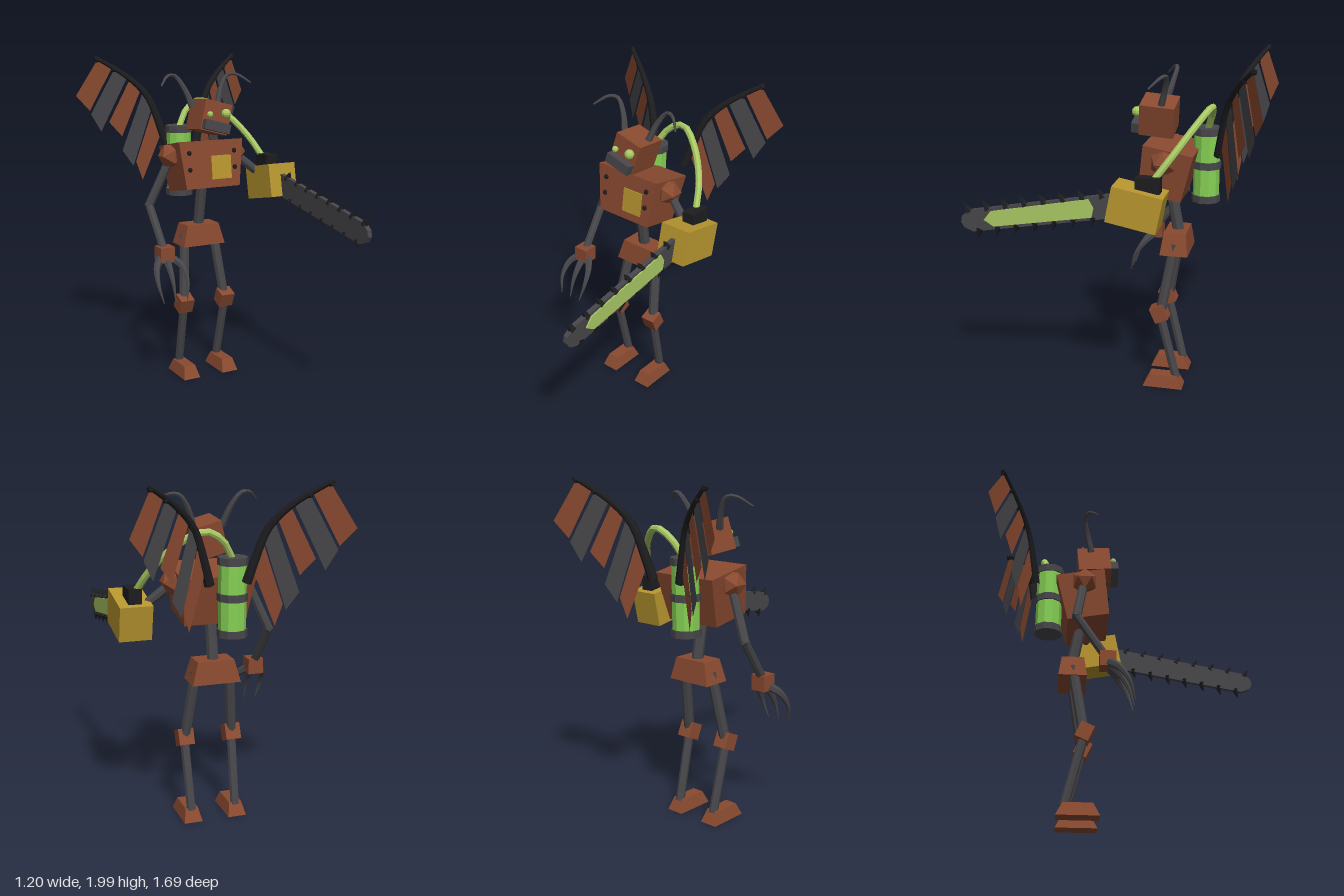
import * as THREE from 'three';

const V = (x, y, z) => new THREE.Vector3(x, y, z);
const mat = (name, color, extra = {}) =>
  Object.assign(new THREE.MeshStandardMaterial({ color, flatShading: true, ...extra }), { name });

export function createModel() {
  const root = new THREE.Group();
  root.name = 'scrapRobot';
  const rust = mat('rust', 0x8a4a30, { side: THREE.DoubleSide });
  const steel = mat('steel', 0x47474b, { side: THREE.DoubleSide });
  const black = mat('black', 0x1d1d20);
  const gold = mat('gold', 0xb8962f);
  const lime = mat('lime', 0xa9c964);
  const green = mat('green', 0x86d054);

  const add = (name, geo, material, pos = [0, 0, 0], rot = [0, 0, 0], parent = root) => {
    const m = new THREE.Mesh(geo, material);
    m.name = name;
    m.position.set(...pos);
    m.rotation.set(...rot);
    parent.add(m);
    return m;
  };
  const group = (name, pos, rot = [0, 0, 0]) => {
    const g = new THREE.Group();
    g.name = name;
    g.position.set(...pos);
    g.rotation.set(...rot);
    root.add(g);
    return g;
  };
  const box = (w, h, d) => new THREE.BoxGeometry(w, h, d);

  // Box whose top and bottom differ in size
  const frustum = (w0, d0, w1, d1, h) => {
    const g = box(1, h, 1), p = g.attributes.position;
    for (let i = 0; i < p.count; i++) {
      const top = p.getY(i) > 0;
      p.setX(i, p.getX(i) * (top ? w1 : w0));
      p.setZ(i, p.getZ(i) * (top ? d1 : d0));
    }
    g.computeVertexNormals();
    return g;
  };

  // Straight rod between two points
  const rod = (name, a, b, r, material = steel) => {
    const d = b.clone().sub(a);
    const m = add(name, new THREE.CylinderGeometry(r, r, d.length(), 8), material);
    m.position.copy(a).addScaledVector(d, 0.5);
    m.quaternion.setFromUnitVectors(V(0, 1, 0), d.normalize());
  };

  // Tube along a smooth curve, narrowing from r0 to r1
  const taper = (name, pts, r0, r1, material, sides = 6) => {
    const n = 14, curve = new THREE.CatmullRomCurve3(pts);
    const g = new THREE.TubeGeometry(curve, n, 1, sides, false);
    const p = g.attributes.position, v = V();
    for (let i = 0; i < p.count; i++) {
      const t = Math.floor(i / (sides + 1)) / n, c = curve.getPointAt(t);
      v.fromBufferAttribute(p, i).sub(c).multiplyScalar(r0 + (r1 - r0) * t).add(c);
      p.setXYZ(i, v.x, v.y, v.z);
    }
    return add(name, g, material);
  };

  // Legs, shoulders, horns and wings, mirrored
  const wingZ = x => -0.565 - 0.55 * (Math.abs(x) - 0.085);
  const feathers = [ // two corners on the spar, then two at the tip
    [[0.475, 1.97], [0.40, 1.915], [0.525, 1.65], [0.60, 1.745]],
    [[0.385, 1.91], [0.315, 1.86], [0.465, 1.52], [0.52, 1.63]],
    [[0.30, 1.85], [0.24, 1.79], [0.35, 1.49], [0.42, 1.58]],
    [[0.23, 1.77], [0.18, 1.68], [0.29, 1.30], [0.35, 1.40]],
    [[0.175, 1.67], [0.13, 1.52], [0.24, 1.21], [0.275, 1.33]],
  ];
  for (const s of [-1, 1]) {
    const side = s > 0 ? 'left' : 'right';
    add(side + 'Foot', frustum(0.11, 0.24, 0.075, 0.165, 0.075), rust, [s * 0.135, 0.0375, -0.288]);
    rod(side + 'Shin', V(s * 0.135, 0.06, -0.362), V(s * 0.145, 0.48, -0.258), 0.027);
    add(side + 'Knee', box(0.092, 0.095, 0.083), rust, [s * 0.143, 0.478, -0.26], [0.42, 0, 0]);
    rod(side + 'Thigh', V(s * 0.143, 0.48, -0.265), V(s * 0.1, 0.9, -0.335), 0.031);
    add(side + 'Shoulder', new THREE.IcosahedronGeometry(0.078), rust, [s * 0.215, 1.41, -0.28]);
    taper(side + 'Horn', [V(s * 0.085, 1.7, -0.24), V(s * 0.125, 1.81, -0.27), V(s * 0.18, 1.885, -0.285),
      V(s * 0.235, 1.885, -0.265), V(s * 0.3, 1.835, -0.21)], 0.021, 0.006, steel);

    const spar = [[0.105, 1.44], [0.14, 1.56], [0.205, 1.74], [0.31, 1.86], [0.49, 1.985]];
    taper(side + 'WingSpar', spar.map(([x, y]) => V(s * x, y, wingZ(x))), 0.029, 0.012, black, 8);
    feathers.forEach((f, i) => {
      const g = new THREE.ShapeGeometry(new THREE.Shape(f.map(([x, y]) => new THREE.Vector2(s * x, y))));
      const p = g.attributes.position;
      for (let k = 0; k < p.count; k++) p.setZ(k, wingZ(p.getX(k)));
      g.computeVertexNormals();
      add(side + 'Feather', g, i % 2 ? steel : rust);
      const [x, y] = f[0];
      add(side + 'FeatherJoint', new THREE.IcosahedronGeometry(0.02), black, [s * x, y, wingZ(x)]);
    });
  }

  // Pelvis and spine
  add('pelvis', frustum(0.285, 0.165, 0.215, 0.13, 0.13), rust, [0, 0.9, -0.335]);
  rod('spine', V(0, 0.9, -0.35), V(0, 1.25, -0.285), 0.034);

  // Torso leaning back, with chest plate and rivets
  const torso = group('torso', [0, 1.337, -0.279], [-0.187, 0, 0]);
  add('chest', frustum(0.36, 0.25, 0.43, 0.29, 0.285), rust, [0, 0, 0], [0, 0, 0], torso);
  add('chestPlate', box(0.133, 0.143, 0.009), gold, [0.058, -0.022, 0.137], [0.07, 0, 0], torso);
  for (const x of [-0.152, 0.152]) for (const y of [0.073, -0.027])
    add('rivet', new THREE.SphereGeometry(0.015, 8, 6), black, [x, y, 0.136 + 0.07 * y], [0, 0, 0], torso);

  // Tilted head
  const head = group('head', [0.014, 1.637, -0.218], [-0.08, 0, -0.26]);
  add('skull', box(0.18, 0.185, 0.2), rust, [0, 0, 0], [0, 0, 0], head);
  add('jaw', box(0.168, 0.058, 0.09), steel, [0, -0.057, 0.1], [0, 0, 0], head);
  add('smallEye', new THREE.SphereGeometry(0.019, 8, 6), lime, [-0.039, 1.665, -0.1]);
  add('bigEye', new THREE.SphereGeometry(0.029, 10, 7), lime, [0.067, 1.665, -0.098]);

  // Claw arm
  rod('rightUpperArm', V(-0.2, 1.43, -0.28), V(-0.342, 1.11, -0.325), 0.027);
  add('rightElbow', new THREE.IcosahedronGeometry(0.03), steel, [-0.342, 1.11, -0.325]);
  rod('rightForearm', V(-0.342, 1.11, -0.325), V(-0.327, 0.86, -0.15), 0.025);
  add('rightHand', box(0.092, 0.092, 0.092), rust, [-0.325, 0.843, -0.145]);
  for (const k of [-1, 0, 1])
    taper('claw', [V(-0.325 + k * 0.035, 0.82, -0.135), V(-0.325 + k * 0.08, 0.775, -0.085),
      V(-0.325 + k * 0.095, 0.69, -0.03), V(-0.325 + k * 0.075, 0.58, 0.003)], 0.027, 0.003, steel);

  // Saw arm with motor and grip
  rod('leftUpperArm', V(0.2, 1.42, -0.29), V(0.4, 1.25, -0.235), 0.027);
  add('sawMotor', box(0.187, 0.204, 0.286), gold, [0.437, 1.22, -0.18], [-0.195, 0, 0]);
  add('sawGrip', box(0.075, 0.085, 0.135), black, [0.437, 1.343, -0.243]);

  // Saw bar, drawn flat and turned to point forward and slightly down
  const saw = group('saw', [0.437, 1.205, 0], [0, -Math.PI / 2, -0.171]);
  const outline = pts => new THREE.Shape(pts.map(([x, y]) => new THREE.Vector2(x, y)));
  const bar = new THREE.ExtrudeGeometry(
    outline([[-0.08, -0.068], [0.79, -0.064], [0.84, -0.035], [0.853, 0], [0.84, 0.035], [0.79, 0.064], [-0.08, 0.068]]),
    { depth: 0.028, bevelEnabled: false });
  add('sawBar', bar, steel, [0, 0, -0.014], [0, 0, 0], saw);
  const inlay = new THREE.ExtrudeGeometry(
    outline([[0.08, -0.05], [0.66, -0.045], [0.71, 0], [0.66, 0.045], [0.08, 0.055], [0.06, 0]]),
    { depth: 0.008, bevelEnabled: false });
  add('sawInlay', inlay, lime, [0, 0, -0.022], [0, 0, 0], saw);
  for (let i = 0; i < 8; i++) for (const k of [1, -1])
    add('sawTooth', new THREE.ConeGeometry(0.025, 0.065, 5), black,
      [(k > 0 ? 0.805 : 0.765) - i * 0.113, k * 0.08, 0], [0, 0, k > 0 ? -0.4 : Math.PI + 0.4], saw);

  // Fuel tank with bands
  add('tank', new THREE.CylinderGeometry(0.077, 0.077, 0.42, 10), green, [-0.058, 1.345, -0.488]);
  for (const y of [1.547, 1.35, 1.15])
    add('tankBand', new THREE.CylinderGeometry(0.085, 0.085, 0.042, 10), steel, [-0.058, y, -0.488]);

  // Fuel hose from tank to motor
  taper('hose', [V(-0.058, 1.55, -0.488), V(0.02, 1.67, -0.525), V(0.12, 1.715, -0.53), V(0.26, 1.63, -0.46),
    V(0.37, 1.49, -0.36), V(0.425, 1.36, -0.265)], 0.02, 0.02, lime, 8);
  return root;
}
